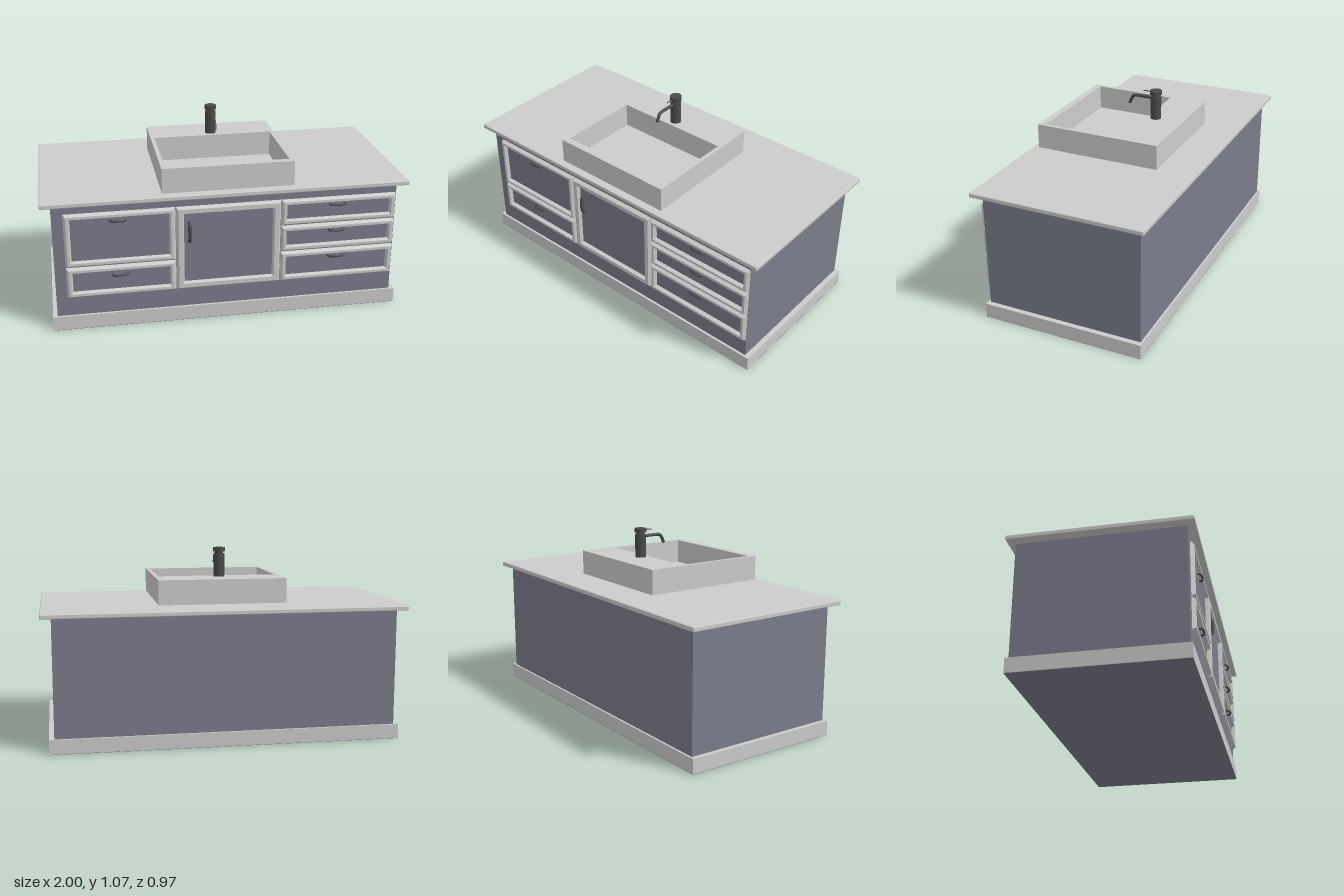
import * as THREE from 'three';
import { RoundedBoxGeometry } from 'three/addons/geometries/RoundedBoxGeometry.js';

const grey = new THREE.MeshStandardMaterial({ color: 0xcccccc });
const paint = new THREE.MeshStandardMaterial({ color: 0x7a7c8b });
const metal = new THREE.MeshStandardMaterial({ color: 0x4a4a4a });

const FACE = 0.445; // z of the cabinet front

export function createModel() {
  const model = new THREE.Group();
  model.name = 'vanity';

  function add(parent, name, geometry, material, x = 0, y = 0, z = 0) {
    const mesh = new THREE.Mesh(geometry, material);
    mesh.name = name;
    mesh.position.set(x, y, z);
    parent.add(mesh);
    return mesh;
  }

  // Box given by its limits on each axis
  function block(name, material, x0, x1, y0, y1, z0, z1) {
    return add(model, name, new THREE.BoxGeometry(x1 - x0, y1 - y0, z1 - z0), material,
      (x0 + x1) / 2, (y0 + y1) / 2, (z0 + z1) / 2);
  }

  // Mitred frame: rectangular loops stepping inwards along a bevelled profile
  function frameGeometry(x0, x1, y0, y1, width) {
    const profile = [[0, FACE], [0.012, 0.465], [width - 0.008, 0.465], [width, FACE]];
    const loops = profile.map(([d, z]) => [
      [x0 + d, y0 + d, z], [x1 - d, y0 + d, z], [x1 - d, y1 - d, z], [x0 + d, y1 - d, z],
    ]);
    const positions = [];
    for (let i = 0; i < loops.length - 1; i++) {
      for (let j = 0; j < 4; j++) {
        const k = (j + 1) % 4;
        const a = loops[i][j], b = loops[i][k], c = loops[i + 1][k], d = loops[i + 1][j];
        positions.push(...a, ...b, ...c, ...a, ...c, ...d);
      }
    }
    const geometry = new THREE.BufferGeometry();
    geometry.setAttribute('position', new THREE.Float32BufferAttribute(positions, 3));
    geometry.computeVertexNormals();
    return geometry;
  }

  // Bow handle standing off the panel, drawn horizontally
  function handle(name, x, y, length, reach, radius) {
    const h = length / 2;
    const curve = new THREE.CatmullRomCurve3([
      new THREE.Vector3(-h, 0, 0), new THREE.Vector3(-h * 0.85, 0, reach * 0.7),
      new THREE.Vector3(0, 0, reach),
      new THREE.Vector3(h * 0.85, 0, reach * 0.7), new THREE.Vector3(h, 0, 0),
    ]);
    return add(model, name, new THREE.TubeGeometry(curve, 24, radius, 10), metal, x, y, FACE);
  }

  // Carcass, plinth and worktop
  block('basePanel', paint, -0.97, 0.97, 0, 0.002, -0.458, 0.458);
  block('plinth', grey, -0.97, 0.97, 0.002, 0.082, -0.458, 0.458);
  block('cabinet', paint, -0.945, 0.942, 0.082, 0.732, -0.447, FACE);
  add(model, 'worktop', new RoundedBoxGeometry(2, 0.025, 0.974, 2, 0.005), grey, 0, 0.744, 0);

  // Drawers: x limits, y limits, handle height
  const drawers = [
    [-0.885, -0.29, 0.372, 0.68, 0.628],
    [-0.885, -0.29, 0.19, 0.368, 0.31],
    [0.292, 0.94, 0.529, 0.68, 0.634],
    [0.292, 0.94, 0.372, 0.525, 0.481],
    [0.292, 0.94, 0.19, 0.368, 0.323],
  ];
  for (const [x0, x1, y0, y1, hy] of drawers) {
    add(model, 'drawerFrame', frameGeometry(x0, x1, y0, y1, 0.034), grey);
    handle('drawerHandle', (x0 + x1) / 2 - 0.008, hy, 0.084, 0.022, 0.006);
  }

  // Door
  add(model, 'doorFrame', frameGeometry(-0.288, 0.29, 0.19, 0.68, 0.044), grey);
  handle('doorHandle', -0.215, 0.528, 0.11, 0.024, 0.01).rotation.z = Math.PI / 2;

  // Basin: a block with a well cut through, raised a hair above the worktop
  const outline = new THREE.Shape([
    new THREE.Vector2(-0.359, -0.448), new THREE.Vector2(0.359, -0.448),
    new THREE.Vector2(0.359, 0.272), new THREE.Vector2(-0.359, 0.272),
  ]);
  outline.holes.push(new THREE.Path([
    new THREE.Vector2(-0.337, -0.41), new THREE.Vector2(-0.337, 0.058),
    new THREE.Vector2(0.337, 0.058), new THREE.Vector2(0.337, -0.41),
  ]));
  const basin = new THREE.ExtrudeGeometry(outline, { depth: 0.138, bevelEnabled: false });
  basin.rotateX(-Math.PI / 2);
  add(model, 'basin', basin, grey, 0, 0.762, 0);

  // Tap: body, neck, cap, lever and spout
  const tap = new THREE.Group();
  tap.name = 'tap';
  tap.position.set(-0.005, 0.9, -0.108);
  model.add(tap);
  const cylinder = (name, r, y0, y1) =>
    add(tap, name, new THREE.CylinderGeometry(r, r, y1 - y0, 32), metal, 0, (y0 + y1) / 2, 0);
  cylinder('tapBody', 0.03, 0, 0.13);
  cylinder('tapNeck', 0.024, 0.13, 0.142);
  cylinder('tapCap', 0.033, 0.142, 0.165);
  const lever = add(tap, 'tapLever', new THREE.CylinderGeometry(0.003, 0.003, 0.045, 12), metal, 0, 0.154, 0.0525);
  lever.rotation.x = Math.PI / 2;

  const path = new THREE.CurvePath();
  const p = (y, z) => new THREE.Vector3(0, y, z);
  path.add(new THREE.LineCurve3(p(0.119, 0.02), p(0.119, 0.115)));
  path.add(new THREE.QuadraticBezierCurve3(p(0.119, 0.115), p(0.119, 0.138), p(0.102, 0.146)));
  path.add(new THREE.LineCurve3(p(0.102, 0.146), p(0.069, 0.162)));
  const spoutMaterial = metal.clone();
  spoutMaterial.side = THREE.DoubleSide;
  add(tap, 'tapSpout', new THREE.TubeGeometry(path, 32, 0.009, 16), spoutMaterial);

  return model;
}
